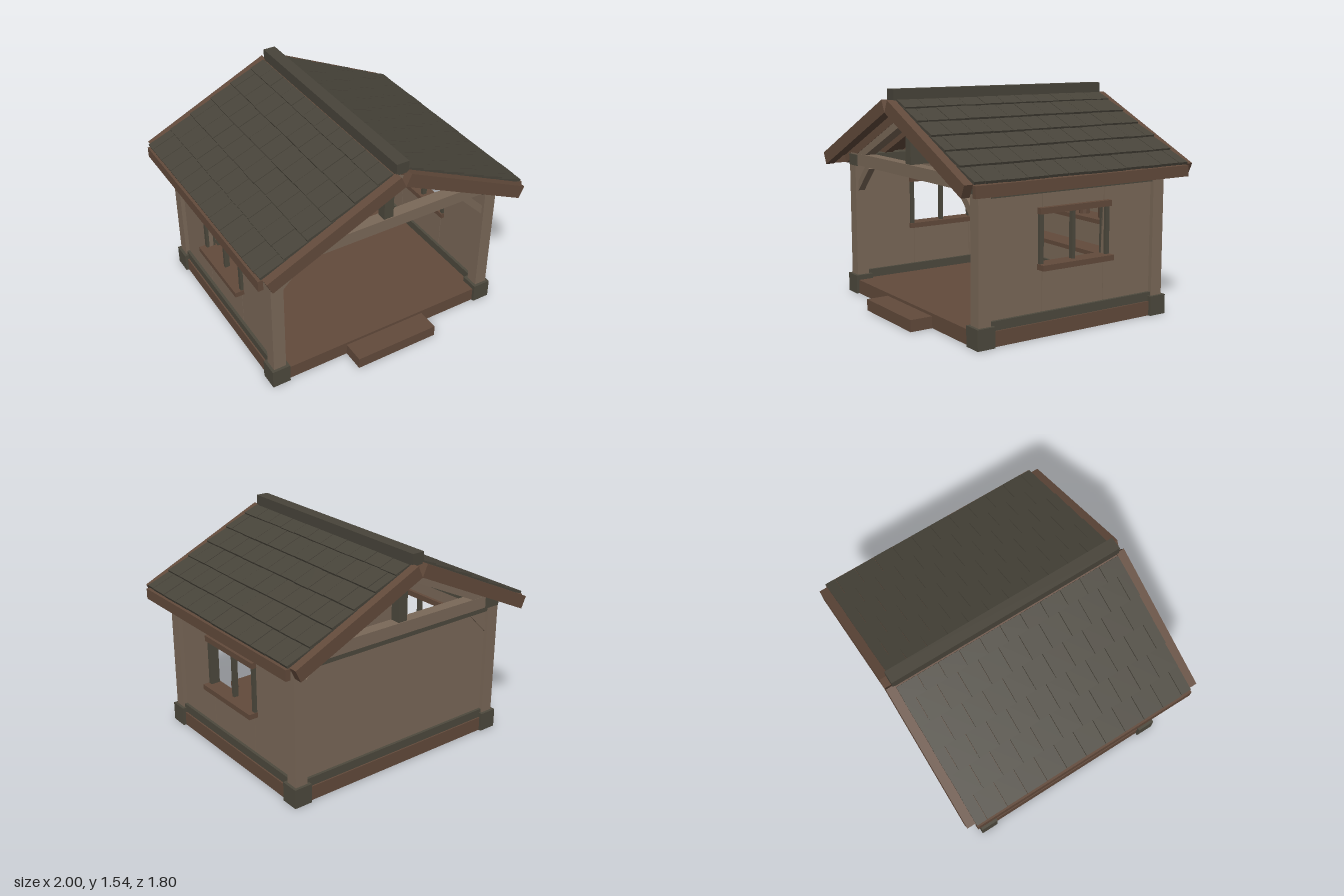
import * as THREE from 'three';

const material = (color) => new THREE.MeshStandardMaterial({ color, flatShading: true });
const LIGHT = material(0x7a6858);
const DARK = material(0x4d493d);
const BROWN = material(0x624a3b);
const ROOF = material(0x48443a);
const IRON = material(0x33302b);

// Box given by its extents on each axis.
function box(parent, name, mat, [x0, x1], [y0, y1], [z0, z1]) {
  const mesh = new THREE.Mesh(new THREE.BoxGeometry(x1 - x0, y1 - y0, z1 - z0), mat);
  mesh.position.set((x0 + x1) / 2, (y0 + y1) / 2, (z0 + z1) / 2);
  mesh.name = name;
  parent.add(mesh);
  return mesh;
}

function group(parent, name) {
  const g = new THREE.Group();
  g.name = name;
  parent.add(g);
  return g;
}

let seed = 7;
const jitter = () => ((seed = (seed * 16807) % 2147483647) / 2147483647 - 0.5);

// One long wall with window, corner posts, braces and plate, on +x.
function buildSide(parent) {
  const side = group(parent, 'sideWall');
  for (const s of [-1, 1]) {
    const span = (a, b) => (s > 0 ? [a, b] : [-b, -a]);
    box(side, 'footing', DARK, [0.76, 0.89], [0, 0.135], span(0.63, 0.76));
    box(side, 'cornerPost', LIGHT, [0.78, 0.87], [0.1, 0.96], span(0.65, 0.74));
    box(side, 'wallPanel', LIGHT, [0.81, 0.84], [0.1, 0.95], span(0.25, 0.655));
    box(side, 'windowJamb', DARK, [0.795, 0.86], [0.46, 0.8], span(0.25, 0.28));
    const brace = box(side, 'kneeBrace', LIGHT, [-0.14, 0.14], [-0.025, 0.025], [-0.025, 0.025]);
    brace.position.set(0.72, 0.86, s * 0.695);
    brace.rotation.z = -Math.PI / 4;
  }
  box(side, 'wallPanelBelowWindow', LIGHT, [0.81, 0.84], [0.1, 0.45], [-0.245, 0.245]);
  box(side, 'wallPanelAboveWindow', LIGHT, [0.81, 0.84], [0.8, 0.95], [-0.245, 0.245]);
  box(side, 'windowMullion', DARK, [0.81, 0.845], [0.46, 0.8], [-0.012, 0.012]);
  box(side, 'windowHead', BROWN, [0.785, 0.875], [0.79, 0.83], [-0.285, 0.285]);
  box(side, 'windowSill', BROWN, [0.785, 0.905], [0.435, 0.472], [-0.285, 0.285]);
  box(side, 'sillBeam', DARK, [0.79, 0.86], [0.1, 0.16], [-0.65, 0.65]);
  box(side, 'topRail', DARK, [0.79, 0.86], [0.92, 0.955], [-0.65, 0.65]);
  box(side, 'wallPlate', DARK, [0.75, 0.87], [0.95, 1.03], [-0.745, 0.745]);
  box(side, 'eaveFascia', BROWN, [0.965, 1.0], [0.955, 1.03], [-0.84, 0.84]);
  return side;
}

// One roof slope; local x runs down the slope from the ridge.
function buildSlope(parent) {
  const slope = group(parent, 'roofSlope');
  slope.position.y = 1.39;
  slope.rotation.z = -THREE.MathUtils.degToRad(25);
  box(slope, 'roofDeck', BROWN, [0, 1.03], [0.06, 0.08], [-0.84, 0.84]);
  for (let i = -3; i <= 3; i++) {
    const z = i * 0.235;
    box(slope, 'rafter', BROWN, [0, 1.035], [0, 0.062], [z - 0.032, z + 0.032]);
  }
  for (const s of [-1, 1]) {
    box(slope, 'bargeBoard', BROWN, [0, 1.03], [0, 0.09], [s * 0.87 - 0.03, s * 0.87 + 0.03]);
    box(slope, 'trussRafter', LIGHT, [-0.02, 0.88], [-0.052, 0.002], [s * 0.695 - 0.04, s * 0.695 + 0.04]);
  }
  // Overlapping shingle courses, every other one staggered by half a tile.
  const shingles = group(slope, 'shingles');
  const width = 1.68 / 11;
  for (let row = 0; row < 6; row++) {
    const end = 0.135 + row * 0.181;
    const start = Math.max(0.02, end - 0.21);
    const shift = row % 2 ? width / 2 : 0;
    for (let k = row % 2 ? -1 : 0; k < 11; k++) {
      const z0 = Math.max(-0.84, -0.84 + k * width + shift + 0.002);
      const z1 = Math.min(0.84, -0.84 + (k + 1) * width + shift - 0.002);
      const lift = jitter() * 0.003;
      const tile = box(shingles, 'shingle', ROOF, [start, end + jitter() * 0.005],
        [0.086 + lift, 0.104 + lift], [z0, z1]);
      tile.rotation.z = 0.07;
    }
  }
}

// Shelf boards, brackets, mugs and a hanging hoop on the back wall.
function buildShelves(parent) {
  const shelves = group(parent, 'shelves');
  for (const y of [0.345, 0.585]) {
    box(shelves, 'shelfBoard', BROWN, [-0.58, 0.58], [y, y + 0.03], [-0.68, -0.5]);
    for (const x of [-0.48, 0.48]) {
      box(shelves, 'shelfBracket', IRON, [x - 0.017, x + 0.017], [y - 0.105, y], [-0.68, -0.54]);
    }
  }
  for (let i = -2; i <= 2; i++) {
    const height = i % 2 ? 0.14 : 0.118;
    const mug = new THREE.Mesh(new THREE.CylinderGeometry(0.038, 0.038, height, 10), BROWN);
    mug.name = 'mug';
    mug.position.set(i * 0.215, 0.613 + height / 2, -0.59);
    shelves.add(mug);
  }
  const hoop = new THREE.Mesh(new THREE.TorusGeometry(0.075, 0.008, 6, 24), BROWN);
  hoop.name = 'hoop';
  hoop.position.set(0.48, 0.742, -0.63);
  hoop.rotation.y = 0.4;
  shelves.add(hoop);
}

export function createModel() {
  const model = new THREE.Group();
  model.name = 'timberCabin';

  // Floor and entrance step
  box(model, 'floor', BROWN, [-0.87, 0.87], [0, 0.1], [-0.74, 0.74]);
  box(model, 'entranceStep', BROWN, [-0.31, 0.31], [0, 0.08], [0.74, 0.9]);

  // Back wall
  box(model, 'backWall', LIGHT, [-0.785, 0.785], [0.1, 0.95], [-0.71, -0.68]);
  box(model, 'backSillBeam', DARK, [-0.78, 0.78], [0.1, 0.16], [-0.73, -0.66]);
  box(model, 'backTopRail', DARK, [-0.78, 0.78], [0.92, 0.955], [-0.73, -0.66]);

  // Gable trusses
  for (const z of [-0.695, 0.695]) {
    box(model, 'tieBeam', LIGHT, [-0.86, 0.86], [0.955, 1.04], [z - 0.042, z + 0.042]);
    box(model, 'kingPost', DARK, [-0.035, 0.035], [1.03, 1.35], [z - 0.035, z + 0.035]);
  }

  // Both halves are the same half turned about the vertical axis
  for (const turn of [0, Math.PI]) {
    const half = group(model, turn ? 'rightHalf' : 'leftHalf');
    half.rotation.y = turn;
    buildSide(half);
    buildSlope(half);
  }
  box(model, 'ridgeCap', ROOF, [-0.045, 0.045], [1.46, 1.54], [-0.855, 0.855]);

  buildShelves(model);
  return model;
}
